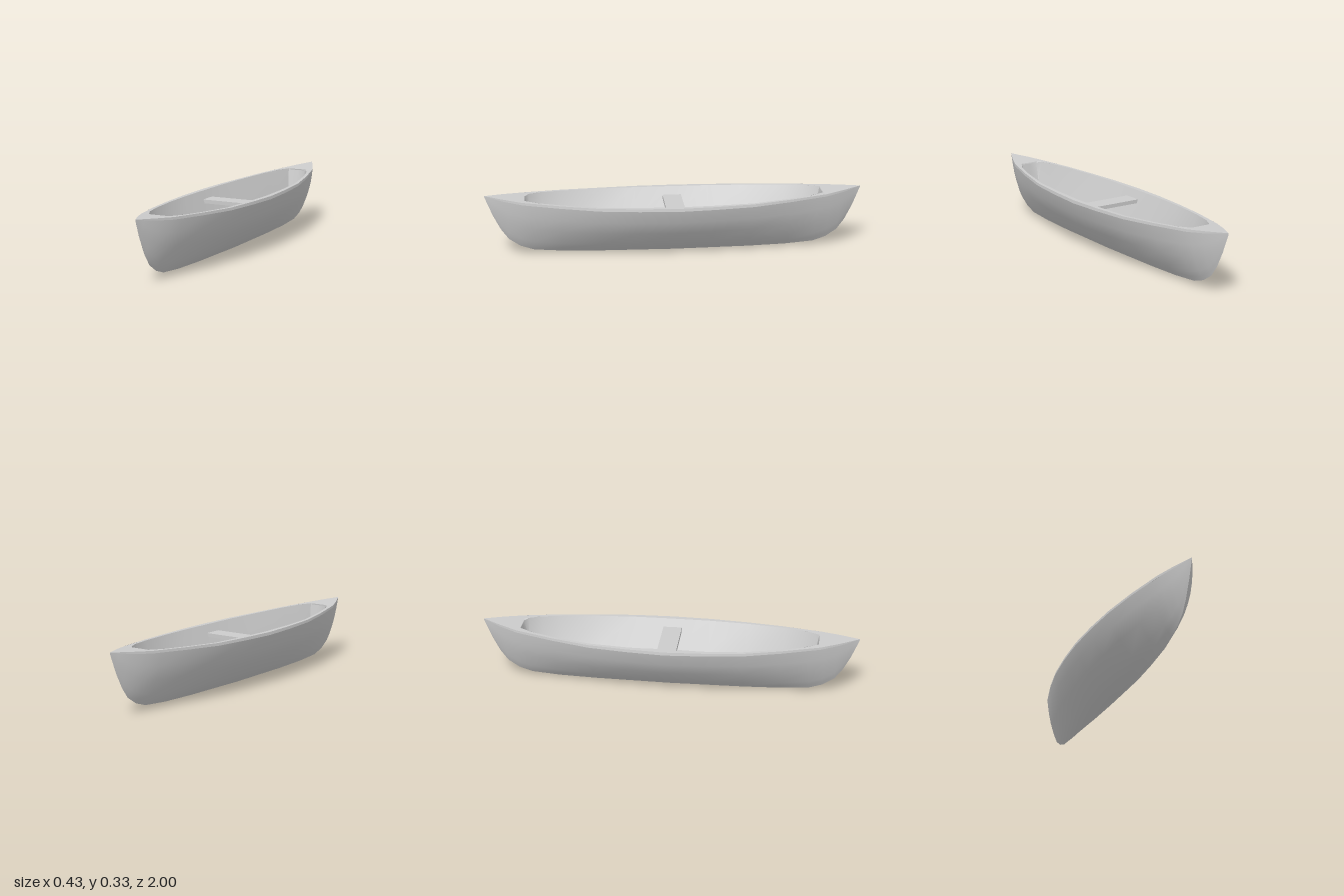
import * as THREE from 'three';
import { toCreasedNormals } from 'three/addons/utils/BufferGeometryUtils.js';

// Piecewise linear lookup by distance from amidships; both ends are alike
const table = (...pairs) => (z) => {
  const d = Math.abs(z);
  let i = 1;
  while (i < pairs.length - 1 && d > pairs[i][0]) i++;
  const [a, b] = [pairs[i - 1], pairs[i]];
  return THREE.MathUtils.lerp(a[1], b[1], (d - a[0]) / (b[0] - a[0]));
};

const beam = table([0, 0.214], [0.2, 0.205], [0.4, 0.185], [0.6, 0.145], [0.8, 0.092], [0.9, 0.05], [1, 0]);
const sheer = table([0, 0.279], [0.4, 0.284], [0.8, 0.3], [0.9, 0.309], [1, 0.326]);
const rimTop = table([0, 0.295], [0.4, 0.298], [0.79, 0.312], [1, 0.327]);
const keel = table([0, 0], [0.4, 0.004], [0.6, 0.01], [0.75, 0.022], [0.82, 0.045],
  [0.88, 0.085], [0.92, 0.14], [0.96, 0.22], [1, 0.322]);
const opening = table([0, 0.185], [0.2, 0.18], [0.4, 0.165], [0.6, 0.126], [0.72, 0.092], [0.79, 0.055]);
const floorWidth = table([0, 0.12], [0.4, 0.102], [0.6, 0.075], [0.7, 0.057], [0.77, 0.045], [0.79, 0.044]);
const floorY = table([0, 0.14], [0.6, 0.142], [0.7, 0.155], [0.77, 0.2], [0.79, 0.306]);

const mirrored = (half) => [...half.slice(1).map((z) => -z).reverse(), ...half];

// Skin over cross-sections: section(z) returns a row of [x, y] points
function loft(stations, section, crease) {
  const rows = stations.map((z) => section(z).map(([x, y]) => [x, y, z]));
  const n = rows[0].length;
  const index = [];
  for (let i = 0; i < rows.length - 1; i++) {
    for (let j = 0; j < n - 1; j++) {
      const a = i * n + j, c = a + n;
      index.push(a, a + 1, c, a + 1, c + 1, c);
    }
  }
  const geo = new THREE.BufferGeometry();
  geo.setAttribute('position', new THREE.Float32BufferAttribute(rows.flat(2), 3));
  geo.setIndex(index);
  return toCreasedNormals(geo, crease);
}

export function createModel() {
  const group = new THREE.Group();
  const material = new THREE.MeshStandardMaterial({ color: 0xcccccc, side: THREE.DoubleSide });
  const add = (name, geo) => {
    const mesh = new THREE.Mesh(geo, material);
    mesh.name = name;
    group.add(mesh);
    return mesh;
  };

  // Outer hull: half section as [fraction of beam, fraction of height]
  const half = [[0.16, 0.09], [0.33, 0.2], [0.68, 0.495], [0.89, 0.75], [1, 1]];
  const profile = [...half.map(([x, y]) => [-x, y]).reverse(), [0, 0], ...half];
  add('hull', loft(
    mirrored([0, 0.2, 0.4, 0.6, 0.75, 0.82, 0.88, 0.92, 0.96, 1]),
    (z) => profile.map(([x, y]) => [x * beam(z), THREE.MathUtils.lerp(keel(z), sheer(z), y)]),
    0.9
  ));

  // Inner walls and floor, rising into a short end wall
  const inside = [0, 0.2, 0.4, 0.6, 0.7, 0.77, 0.79];
  add('interior', loft(mirrored(inside), (z) => {
    const w = opening(z), f = floorWidth(z), y = floorY(z);
    return [[w, rimTop(z)], [f, y], [0, y], [-f, y], [-w, rimTop(z)]];
  }, 0.8));

  const rimBeam = (z) => beam(z) * 0.99;
  for (const side of [1, -1]) {
    const label = side > 0 ? 'left' : 'right';
    const order = (points) => (side > 0 ? points : points.reverse());
    // Outer band of the gunwale
    add(label + 'GunwaleBand', loft(
      mirrored([0, 0.2, 0.4, 0.6, 0.8, 0.9, 1]),
      (z) => order([[side * beam(z), sheer(z)], [side * rimBeam(z), rimTop(z)]]), 0.6
    ));
    // Flat top of the gunwale
    add(label + 'GunwaleTop', loft(
      mirrored([0, 0.2, 0.4, 0.6, 0.72, 0.79]),
      (z) => order([[side * rimBeam(z), rimTop(z)], [side * opening(z), rimTop(z)]]), 0.6
    ));
  }

  // Pointed decks closing both ends
  const deckSection = (z) => [[rimBeam(z), rimTop(z)], [0, rimTop(z)], [-rimBeam(z), rimTop(z)]];
  add('frontDeck', loft([0.79, 0.8, 0.9, 1], deckSection, 0.6));
  add('backDeck', loft([-1, -0.9, -0.8, -0.79], deckSection, 0.6));

  // Cross seat amidships
  add('seat', new THREE.BoxGeometry(0.36, 0.02, 0.1)).position.y = 0.243;

  return group;
}
